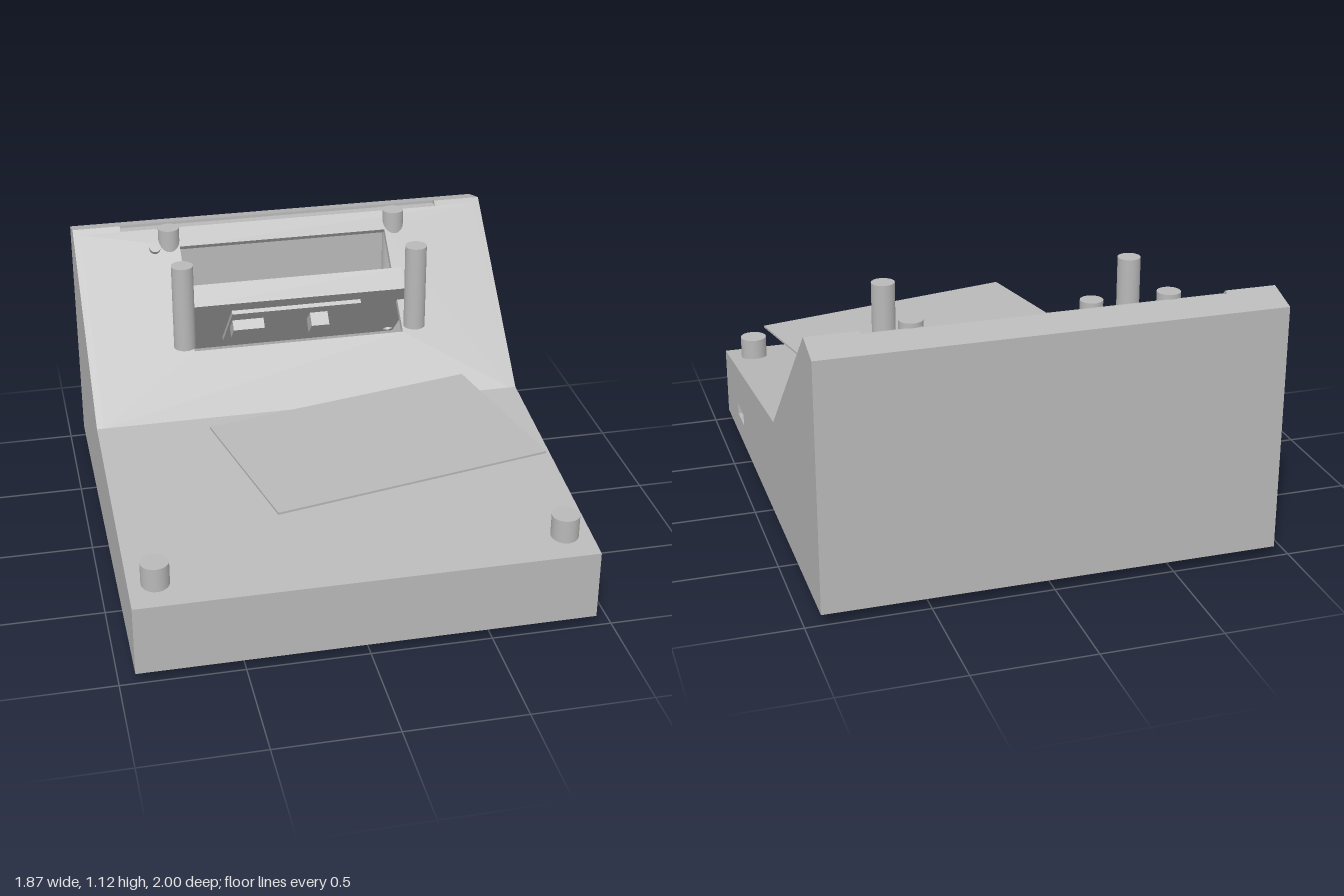
import * as THREE from 'three';

const T = 0.03;   // shell thickness
const W = 0.935;  // half width of the case

export function createModel() {
  const root = new THREE.Group();
  root.name = 'slopedDeskConsole';
  const grey = new THREE.MeshStandardMaterial({ color: 0xb8b8b8 });
  grey.name = 'plain grey';

  function add(name, geometry, x = 0, y = 0, z = 0, parent = root) {
    const mesh = new THREE.Mesh(geometry, grey);
    mesh.name = name;
    mesh.position.set(x, y, z);
    parent.add(mesh);
    return mesh;
  }
  const box = (name, x0, x1, y0, y1, z0, z1, parent) =>
    add(name, new THREE.BoxGeometry(x1 - x0, y1 - y0, z1 - z0),
      (x0 + x1) / 2, (y0 + y1) / 2, (z0 + z1) / 2, parent);
  const post = (name, r, x, z, y0, y1) =>
    add(name, new THREE.CylinderGeometry(r, r, y1 - y0, 40), x, (y0 + y1) / 2, z);
  const polygon = (pts) => new THREE.Shape(pts.map(([a, b]) => new THREE.Vector2(a, b)));
  const rect = (x0, x1, y0, y1) => polygon([[x0, y0], [x1, y0], [x1, y1], [x0, y1]]);
  const circle = (x, y, r) => new THREE.Path().absarc(x, y, r, 0, Math.PI * 2, true);
  const extrude = (shape, depth) =>
    new THREE.ExtrudeGeometry(shape, { depth, bevelEnabled: false, curveSegments: 20 });

  // A (z, y) profile extruded across x, from x0 to x1
  function across(name, shape, x0, x1) {
    const mesh = add(name, extrude(shape, x1 - x0), x1, 0, 0);
    mesh.rotation.y = -Math.PI / 2;
    return mesh;
  }

  // A wall between two (z, y) profile points, thickened inward
  function wall(name, [z0, y0], [z1, y1], holes = []) {
    const shape = rect(-W + T, W - T, 0, Math.hypot(z1 - z0, y1 - y0));
    shape.holes.push(...holes);
    const geometry = extrude(shape, T);
    geometry.translate(0, 0, -T);
    const mesh = add(name, geometry, 0, y0, z0);
    mesh.rotation.x = Math.atan2(z1 - z0, y1 - y0);
  }

  // Case outline as (z, y)
  const frontLow = [1, 0.045], frontTop = [1, 0.345], crease = [-0.17, 0.485];
  const ridgeStart = [-0.84, 1.1016], ridge = [-0.86, 1.12];
  const backTop = [-1, 1.08], backLow = [-1, 0.045];
  const outline = [frontLow, frontTop, crease, ridge, backTop, backLow];

  // Side walls, the left one with a port opening
  const portWall = polygon(outline);
  portWall.holes.push(rect(0.58, 0.72, 0.145, 0.195));
  across('leftWall', portWall, W - T, W);
  across('rightWall', polygon(outline), -W, -W + T);
  box('portSocket', W - 0.07, W - 0.012, 0.145, 0.195, 0.58, 0.65);

  // Front, deck, sloped panel with window, back
  wall('frontWall', frontLow, frontTop);
  wall('deck', frontTop, crease);
  wall('displayPanel', crease, ridgeStart, [rect(-0.47, 0.47, 0.3125, 0.815)]);
  wall('backWall', [-1, 1.06], backLow);

  // Floor with two groups of vent slits
  const slits = [];
  for (const side of [-1, 1]) {
    for (const x of [0.33, 0.44, 0.55]) {
      slits.push(rect(side * x - 0.011, side * x + 0.011, 0.42, 0.88));
    }
  }
  wall('floor', backLow, frontLow, slits);
  for (const z of [-0.14, -0.48]) box('ventBar', 0.18, 0.7, 0.03, 0.05, z - 0.015, z + 0.015);

  // Ridge cap with a shallow notch along its middle
  const inner = [[-1, 1.04], [-0.85, 1.06]];
  const fullCap = polygon([ridgeStart, ridge, backTop, ...inner]);
  const notchedCap = polygon([ridgeStart, [-0.88, 1.1016], [-0.88, 1.1143], backTop, ...inner]);
  across('ridgeEnd', fullCap, 0.725, W - T);
  across('ridgeEnd', fullCap, -W + T, -0.725);
  across('ridgeNotch', notchedCap, -0.725, 0.725);

  // Feet, hollow screw pegs, deck studs and display rods
  const peg = new THREE.Shape().absarc(0, 0, 0.036, 0, Math.PI * 2);
  peg.holes.push(circle(0, 0, 0.018));
  for (const side of [-1, 1]) {
    for (const [footZ, pegZ] of [[0.755, 0.865], [-0.8, -0.865]]) {
      post('foot', 0.085, side * 0.755, footZ, 0.01, 0.05);
      const ring = add('screwPeg', extrude(peg, 0.05), side * 0.825, 0.05, pegZ);
      ring.rotation.x = Math.PI / 2;
    }
    post('deckStud', 0.057, side * 0.826, 0.86, 0.34, 0.457);
    post('frontRod', 0.047, side * 0.515, -0.38, 0.735, 1.12);
    post('rearRod', 0.047, side * 0.515, -0.8, 0.735, 1.12);
  }

  // Small knob standing out of the sloped panel
  const knob = add('knob', new THREE.CylinderGeometry(0.025, 0.025, 0.06, 24), -0.583, 1.03, -0.775);
  knob.rotation.x = Math.atan2(0.677, 0.736);

  // Loose card hovering over the deck
  const card = add('card', new THREE.BoxGeometry(1.18, 0.009, 0.74), 0.165, 0.6, 0.3625);
  card.rotation.y = 0.205;

  // Display module: local y runs up along the board, local z is its underside
  const display = new THREE.Group();
  display.name = 'displayModule';
  display.position.set(0, 0.925, -0.41);
  display.rotation.x = Math.atan2(0.736, 0.677);
  root.add(display);
  const board = rect(-0.545, 0.545, -0.66, 0);
  for (const side of [-1, 1]) {
    for (const y of [-0.04, -0.62]) board.holes.push(circle(side * 0.515, y, 0.022));
  }
  add('circuitBoard', extrude(board, 0.02), 0, 0, 0, display);
  box('displayBlock', -0.49, 0.49, -0.43, -0.065, -0.1, 0, display);
  box('screen', -0.45, 0.45, -0.34, -0.145, -0.103, -0.095, display);
  box('driverBoard', -0.29, 0.29, -0.5, -0.1, 0.02, 0.038, display);
  box('wideConnector', -0.28, -0.14, -0.3, -0.19, 0.038, 0.085, display);
  box('narrowConnector', 0.07, 0.15, -0.28, -0.18, 0.038, 0.1, display);

  return root;
}
